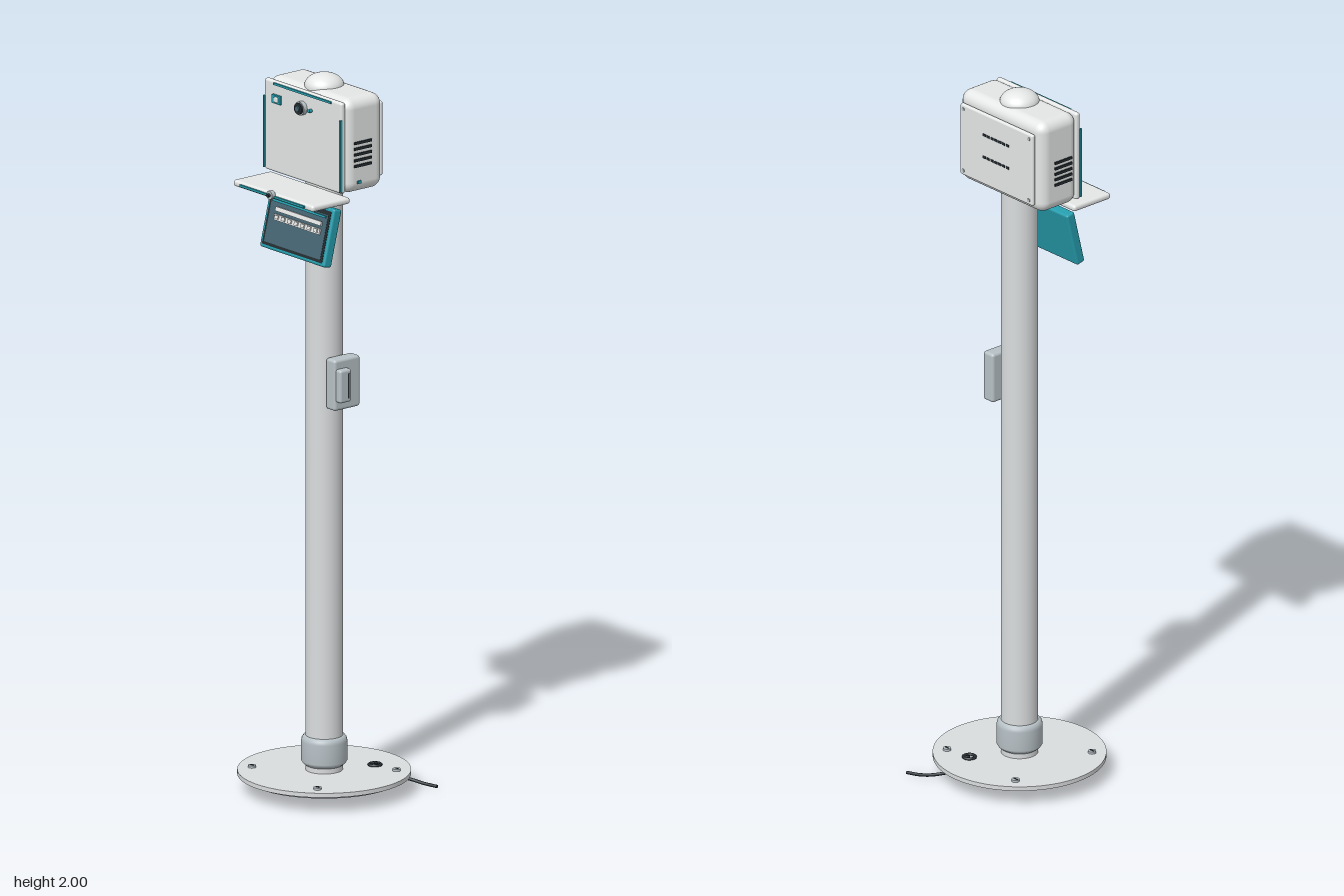
import * as THREE from 'three';
import { RoundedBoxGeometry } from 'three/addons/geometries/RoundedBoxGeometry.js';

const material = (name, color) => {
  const m = new THREE.MeshStandardMaterial({ color });
  m.name = name;
  return m;
};

export function createModel() {
  const white = material('white shell', 0xebeded);
  const metal = material('pale metal', 0xdaddde);
  const blueGrey = material('blue grey', 0xb7c1c6);
  const teal = material('teal', 0x259dad);
  const slate = material('slate', 0x456472);
  const dark = material('dark', 0x242c31);
  const rubber = material('rubber', 0x8a9397);

  const model = new THREE.Group();
  model.name = 'kiosk';
  const CZ = 0.004; // pole axis

  const add = (name, geo, mat, x = 0, y = 0, z = 0, parent = model) => {
    const mesh = new THREE.Mesh(geo, mat);
    mesh.name = name;
    mesh.position.set(x, y, z);
    parent.add(mesh);
    return mesh;
  };
  const group = (name, x = 0, y = 0, z = 0) => {
    const g = new THREE.Group();
    g.name = name;
    g.position.set(x, y, z);
    model.add(g);
    return g;
  };
  const box = (w, h, d) => new THREE.BoxGeometry(w, h, d);
  const round = (w, h, d, r) => new RoundedBoxGeometry(w, h, d, 4, r);
  const disc = (r, h) => new THREE.CylinderGeometry(r, r, h, 32);
  const zDisc = (r, h) => disc(r, h).rotateX(Math.PI / 2);
  const lathe = (pts) => new THREE.LatheGeometry(pts.map(([x, y]) => new THREE.Vector2(x, y)), 48);

  // Base plate with a rubber pad underneath
  add('basePlate', new THREE.CylinderGeometry(0.233, 0.233, 0.012, 72), metal, 0, 0.051, CZ);
  add('basePad', new THREE.CylinderGeometry(0.214, 0.214, 0.008, 72), rubber, 0, 0.041, CZ);
  for (const sx of [-1, 1]) for (const sz of [-1, 1]) {
    const bolt = group('baseBolt', sx * 0.137, 0.057, CZ + sz * 0.138);
    add('boltHead', disc(0.011, 0.008), blueGrey, 0, 0.002, 0, bolt);
    add('boltSlot', box(0.014, 0.002, 0.003), dark, 0, 0.0065, 0, bolt);
  }

  // Cable passing through a grommet in the base
  add('grommet', new THREE.TorusGeometry(0.0155, 0.0045, 10, 32).rotateX(Math.PI / 2), dark, 0.06, 0.059, -0.123);
  const path = new THREE.CatmullRomCurve3([
    [0.06, 0.064, -0.126], [0.06, 0.042, -0.135], [0.075, 0.026, -0.165],
    [0.11, 0.014, -0.204], [0.145, 0.007, -0.221], [0.186, 0.0045, -0.235],
  ].map((p) => new THREE.Vector3(...p)));
  add('cable', new THREE.TubeGeometry(path, 40, 0.0045, 10), dark);
  for (const t of [0, 1]) {
    const end = add('cableEnd', new THREE.CircleGeometry(0.0045, 10), dark);
    end.position.copy(path.getPoint(t));
    end.lookAt(end.position.clone().addScaledVector(path.getTangent(t), t ? 1 : -1));
  }

  // Pole, foot collar and domed cap
  add('pole', new THREE.CylinderGeometry(0.05, 0.05, 1.66, 48), metal, 0, 0.887, CZ);
  add('footCollar', lathe([[0.036, 0.057], [0.04, 0.063], [0.058, 0.077], [0.062, 0.084], [0.062, 0.138],
    [0.06, 0.147], [0.055, 0.153], [0.049, 0.154]]), blueGrey, 0, 0, CZ);
  const dome = [];
  for (let i = 0; i <= 12; i++) {
    const a = (i / 12) * Math.PI / 2;
    dome.push([0.0535 * Math.cos(a), 1.966 + 0.034 * Math.sin(a)]);
  }
  add('domeCap', lathe([[0.0535, 1.95], ...dome]), white, 0, 0, CZ);

  // Head housing with vents on both sides
  add('housing', round(0.334, 0.264, 0.134, 0.03), white, 0, 1.837, 0);
  for (const s of [-1, 1]) for (let i = 0; i < 5; i++) {
    add('sideVent', box(0.006, 0.007, 0.06), dark, s * 0.168, 1.782 + i * 0.016, 0.01);
  }
  add('sidePort', box(0.008, 0.008, 0.012), teal, 0.167, 1.736, 0.023);

  // Back panel with vent rows and corner screws
  add('backPanel', round(0.29, 0.208, 0.013, 0.006), white, 0, 1.834, -0.0745);
  for (const y of [1.876, 1.811]) for (let i = 0; i < 7; i++) {
    add('backVent', box(0.011, 0.007, 0.004), dark, (i - 3) * 0.0155, y, -0.0805);
  }
  for (const sx of [-1, 1]) for (const sy of [-1, 1]) {
    add('backScrew', zDisc(0.005, 0.005), blueGrey, sx * 0.131, 1.834 + sy * 0.09, -0.0805);
  }

  // Front door with teal trim
  add('door', round(0.322, 0.254, 0.016, 0.007), white, 0, 1.837, 0.071);
  add('topTrim', box(0.24, 0.006, 0.006), teal, 0, 1.957, 0.08);
  for (const s of [-1, 1]) add('sideTrim', box(0.005, 0.2, 0.008), teal, s * 0.1595, 1.816, 0.079);

  // Camera, indicator and badge on the door
  add('cameraRing', zDisc(0.019, 0.012), blueGrey, 0, 1.916, 0.085);
  add('cameraBarrel', zDisc(0.0155, 0.012), dark, 0, 1.916, 0.091);
  add('cameraLens', zDisc(0.008, 0.006), slate, 0, 1.916, 0.098);
  add('indicator', zDisc(0.005, 0.01), teal, 0.036, 1.916, 0.084);
  add('badge', box(0.034, 0.024, 0.007), teal, -0.105, 1.916, 0.082);
  add('badgeButton', round(0.016, 0.015, 0.008, 0.003), white, -0.103, 1.916, 0.085);

  // Flat tray with trim, knob and hinge
  add('tray', round(0.334, 0.018, 0.133, 0.008), white, 0, 1.689, 0.1175);
  add('trayTrim', box(0.268, 0.006, 0.006), teal, 0, 1.689, 0.1855);
  add('trayKnob', zDisc(0.012, 0.012), blueGrey, 0, 1.694, 0.19);
  add('trayKnobTip', zDisc(0.005, 0.008), dark, 0, 1.694, 0.199);
  add('trayHinge', box(0.1, 0.012, 0.018), teal, 0, 1.676, 0.066);

  // Tilted panel under the tray
  const panel = group('tiltedPanel', 0, 1.582, 0.086);
  panel.rotation.x = -0.24;
  add('panelCase', round(0.27, 0.16, 0.028, 0.006), teal, 0, 0, 0, panel);
  add('panelBezel', box(0.25, 0.142, 0.003), dark, 0, 0, 0.0135, panel);
  add('panelFace', box(0.234, 0.122, 0.003), slate, 0, -0.002, 0.0145, panel);
  add('panelLine', box(0.22, 0.006, 0.006), teal, 0, 0.053, 0.017, panel);
  add('panelBar', box(0.19, 0.012, 0.006), white, 0.004, 0.032, 0.018, panel);
  add('panelRail', box(0.19, 0.016, 0.006), white, 0.004, 0.01, 0.018, panel);
  for (let i = 0; i < 7; i++) {
    add('railTooth', box(0.014, 0.01, 0.006), white, 0.004 + (i - 3) * 0.027, 0.011, 0.022, panel);
  }

  // Reader on the left of the pole
  add('readerBody', round(0.04, 0.142, 0.09, 0.008), blueGrey, 0.066, 1.15, -0.006);
  add('readerFace', round(0.024, 0.092, 0.04, 0.007), blueGrey, 0.093, 1.15, 0.015);
  add('readerSlot', box(0.004, 0.07, 0.004), dark, 0.104, 1.15, 0.007);

  return model;
}
